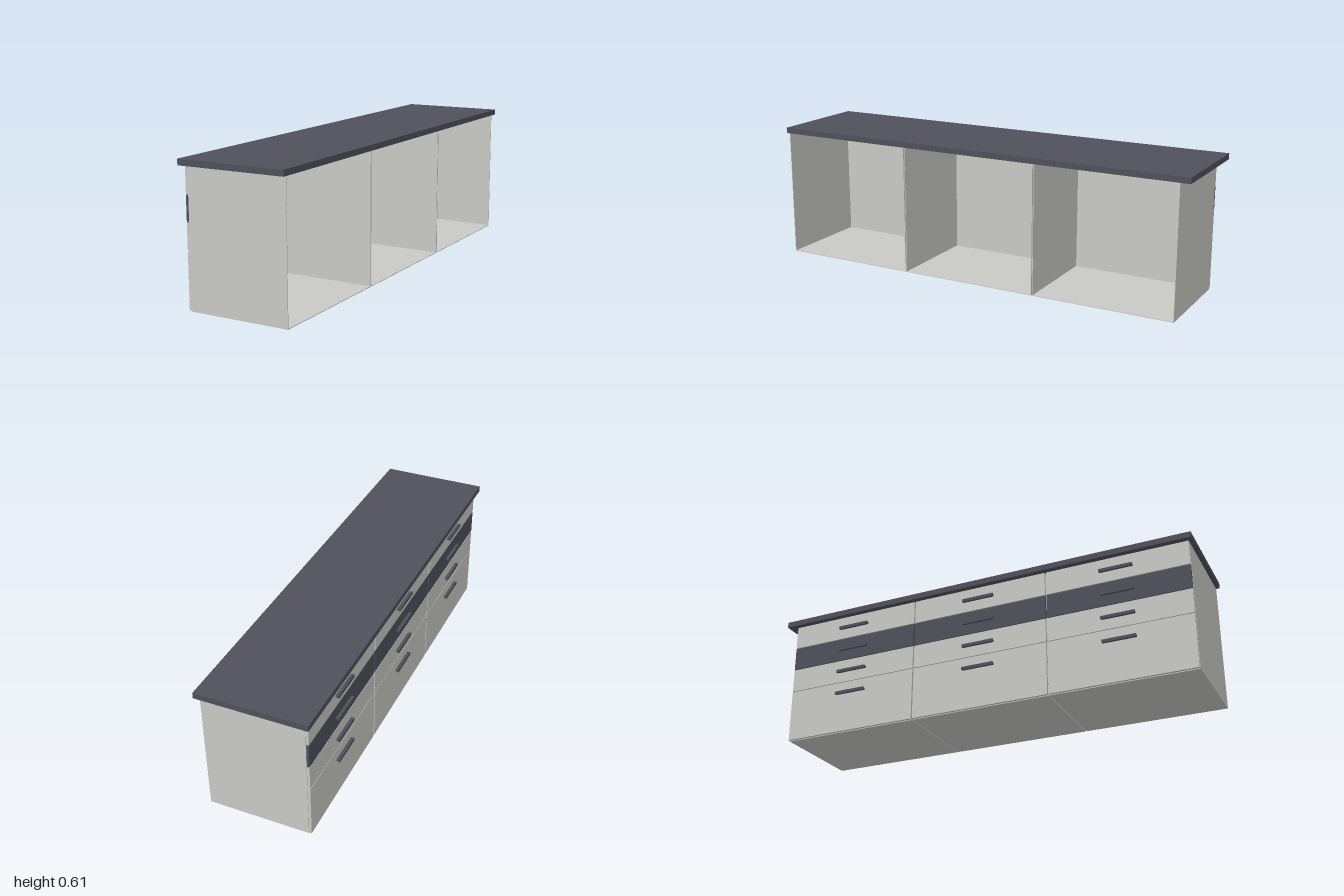
import * as THREE from 'three';

export function createModel() {
  const root = new THREE.Group();
  root.name = 'drawerCounter';

  const pale = new THREE.MeshStandardMaterial({ color: 0xc8c8c4 });
  pale.name = 'pale grey panel';
  const dark = new THREE.MeshStandardMaterial({ color: 0x50505c });
  dark.name = 'dark slate';

  // Box given by its min and max on each axis
  function box(name, parent, material, [x0, x1], [y0, y1], [z0, z1]) {
    const mesh = new THREE.Mesh(new THREE.BoxGeometry(x1 - x0, y1 - y0, z1 - z0), material);
    mesh.position.set((x0 + x1) / 2, (y0 + y1) / 2, (z0 + z1) / 2);
    mesh.name = name;
    parent.add(mesh);
    return mesh;
  }

  // Worktop
  box('worktop', root, dark, [-0.243, 0.243], [0.587, 0.613], [-1, 1]);

  // Flared bar handle, extruded along z
  const handleLength = 0.15;
  const profile = new THREE.Shape([
    [-0.219, -0.005], [-0.219, 0.005], [-0.225, 0.003], [-0.231, 0.007],
    [-0.235, 0.007], [-0.235, -0.007], [-0.231, -0.007], [-0.225, -0.003],
  ].map(([x, y]) => new THREE.Vector2(x, y)));
  const handleGeometry = new THREE.ExtrudeGeometry(profile, { depth: handleLength, bevelEnabled: false });
  handleGeometry.translate(0, 0, -handleLength / 2);

  // Drawer fronts from top to bottom: bottom edge, top edge, handle height
  const drawers = [
    { y: [0.475, 0.585], handle: 0.528, material: pale },
    { y: [0.362, 0.471], handle: 0.415, material: dark },
    { y: [0.249, 0.359], handle: 0.302, material: pale },
    { y: [0.005, 0.246], handle: 0.192, material: pale },
  ];

  // Three cabinets, open at +x and at the top, drawers facing -x
  const pitch = 0.648, half = 0.322, t = 0.003;
  const X = [-0.208, 0.242], Y = [0.002, 0.585];
  for (let i = 0; i < 3; i++) {
    const cabinet = new THREE.Group();
    cabinet.name = 'cabinet' + (i + 1);
    cabinet.position.z = 0.014 + (1 - i) * pitch;
    root.add(cabinet);

    // Carcass panels
    box('floorPanel', cabinet, pale, X, [Y[0], Y[0] + t], [-half, half]);
    box('sidePanelFront', cabinet, pale, X, Y, [half - t, half]);
    box('sidePanelBack', cabinet, pale, X, Y, [-half, -half + t]);
    box('innerPanel', cabinet, pale, [X[0], X[0] + t], Y, [-half + t, half - t]);

    // Drawer fronts and handles
    for (const d of drawers) {
      box('drawerFront', cabinet, d.material, [-0.22, -0.209], d.y, [-half + 0.001, half - 0.001]);
      const handle = new THREE.Mesh(handleGeometry, dark);
      handle.name = 'drawerHandle';
      handle.position.y = d.handle;
      cabinet.add(handle);
    }
  }
  return root;
}
